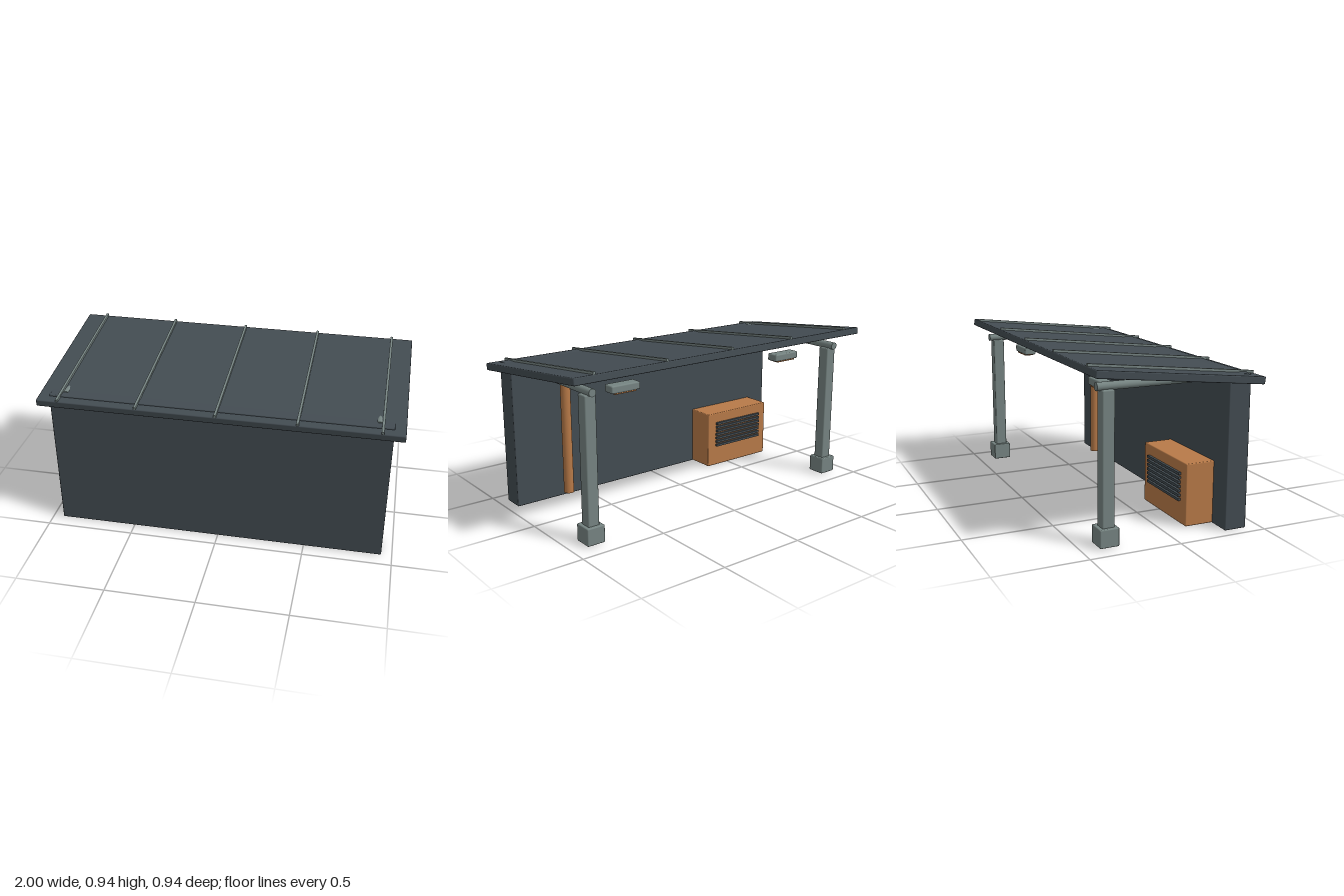
import * as THREE from 'three';
import { RoundedBoxGeometry } from 'three/addons/geometries/RoundedBoxGeometry.js';

const material = (name, color) => {
  const m = new THREE.MeshStandardMaterial({ color });
  m.name = name;
  return m;
};

export function createModel() {
  const slate = material('dark slate', 0x434c52);
  const steel = material('grey steel', 0x768482);
  const copper = material('copper orange', 0xb87a48);
  const model = new THREE.Group();
  model.name = 'shelter';

  const add = (parent, name, geometry, mat, x, y, z) => {
    const mesh = new THREE.Mesh(geometry, mat);
    mesh.name = name;
    mesh.position.set(x, y, z);
    parent.add(mesh);
    return mesh;
  };
  // Softly bevelled box given by its size and the height of its underside
  const block = (parent, name, mat, [w, h, d], x, bottom, z, bevel = 0.006) =>
    add(parent, name, new RoundedBoxGeometry(w, h, d, 2, bevel), mat, x, bottom + h / 2, z);

  // Front wall, just breaking through the roof skin
  block(model, 'wall', slate, [1.88, 0.832, 0.126], 0, 0, 0.358);

  // Sloping roof with raised seams
  const roof = new THREE.Group();
  roof.name = 'roof';
  roof.position.set(0, 0.852, 0);
  roof.rotation.x = 0.112;
  model.add(roof);
  block(roof, 'roofPanel', slate, [2, 0.04, 0.942], 0, -0.02, 0);
  for (let i = -2; i <= 2; i++) {
    add(roof, 'roofSeam', new THREE.BoxGeometry(0.014, 0.02, 0.938), steel, i * 0.44, 0.023, 0);
  }

  // Mirrored posts, feet, round beams and hanging lamps
  for (const side of [1, -1]) {
    const x = side * 0.86;
    block(model, 'post', steel, [0.068, 0.802, 0.068], x, 0, -0.354, 0.008);
    block(model, 'postFoot', steel, [0.106, 0.098, 0.106], x, 0.004, -0.355);
    const beam = add(model, 'beam', new THREE.CylinderGeometry(0.0215, 0.0215, 0.785, 24), steel, x, 0.816, -0.0165);
    beam.rotation.x = Math.PI / 2;
    block(model, 'lampHousing', steel, [0.18, 0.042, 0.07], side * 0.58, 0.749, -0.257, 0.008);
    block(model, 'lampLens', copper, [0.14, 0.016, 0.054], side * 0.58, 0.742, -0.26, 0.003);
  }

  // Drain pipe behind the wall
  add(model, 'drainPipe', new THREE.CylinderGeometry(0.029, 0.029, 0.785, 24), copper, 0.635, 0.4275, 0.243);

  // Equipment cabinet with louvres
  block(model, 'cabinet', copper, [0.48, 0.345, 0.172], -0.57, 0.003, 0.217);
  for (let i = 0; i < 7; i++) {
    add(model, 'louvre', new THREE.BoxGeometry(0.36, 0.014, 0.015), slate, -0.57, 0.137 + i * 0.024, 0.1235);
  }
  return model;
}
